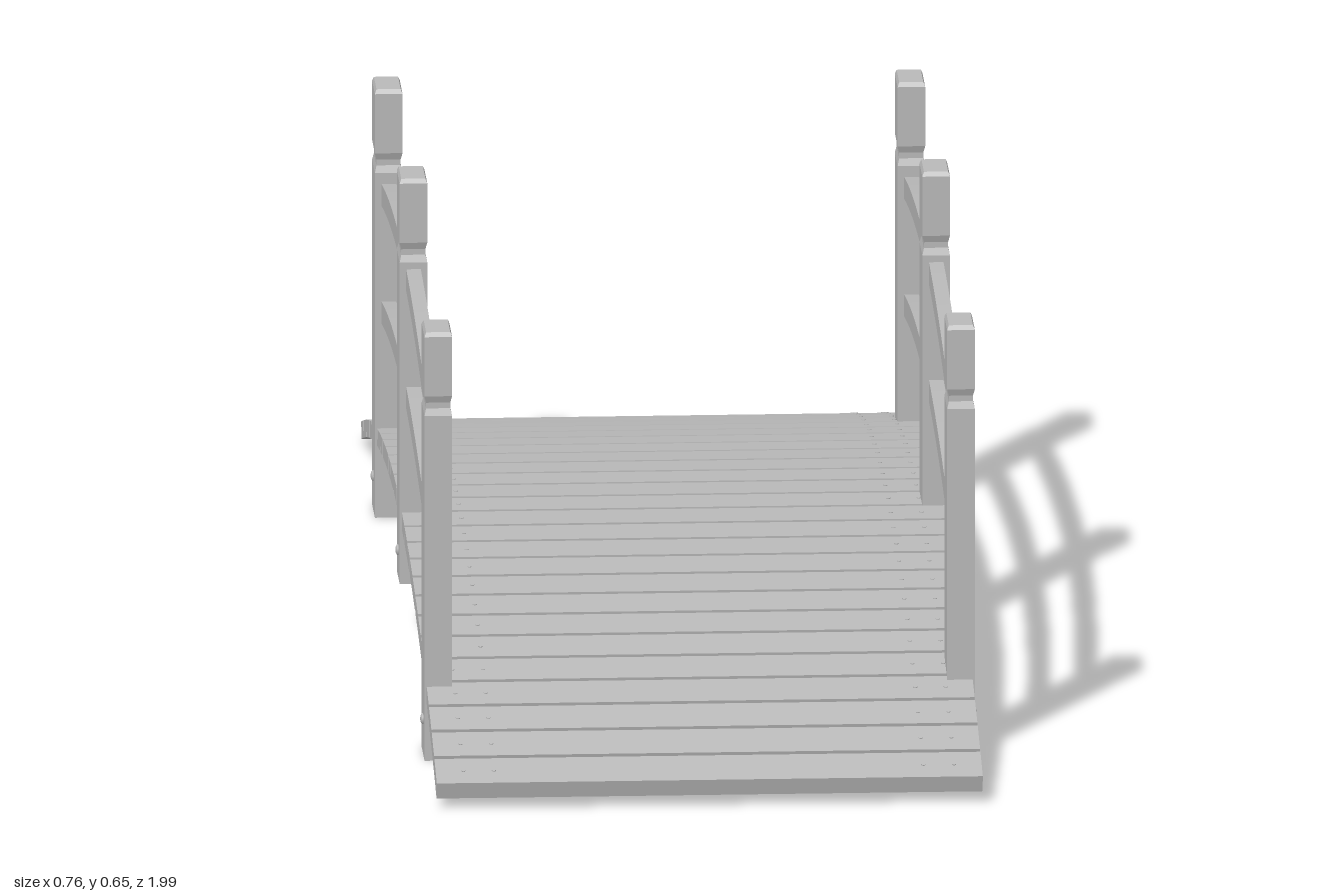
import * as THREE from 'three';

const wood = new THREE.MeshStandardMaterial({ color: 0xb8b8b8 });
wood.name = 'grey wood';

const ARCH_Z = 0.02; // crown of the arch
const arch = (crown, k = 0.15) => (z) => crown - k * (z - ARCH_Z) ** 2;
const deckTop = arch(0.18);

function add(parent, name, geometry, x = 0, y = 0, z = 0) {
  const mesh = new THREE.Mesh(geometry, wood);
  mesh.name = name;
  mesh.position.set(x, y, z);
  parent.add(mesh);
  return mesh;
}

// Curved beam between two height functions, centred on x = 0
function arcBeam(top, bottom, zFrom, zTo, width, steps) {
  const upper = [], lower = [];
  for (let i = 0; i <= steps; i++) {
    const z = zFrom + (zTo - zFrom) * i / steps;
    upper.push(new THREE.Vector2(z, top(z)));
    lower.push(new THREE.Vector2(z, bottom(z)));
  }
  const shape = new THREE.Shape([...lower, ...upper.reverse()]);
  const geometry = new THREE.ExtrudeGeometry(shape, { depth: width, bevelEnabled: false });
  geometry.translate(0, 0, -width / 2);
  geometry.rotateY(-Math.PI / 2);
  return geometry;
}

// Square post with a shallow groove below its cap and a bevelled top
function postGeometry(base, top) {
  const rings = [
    [base, 0], [top - 0.118, 0], [top - 0.108, 0.004],
    [top - 0.1, 0.004], [top - 0.09, 0], [top - 0.006, 0], [top, 0.004],
  ];
  const corners = [[-1, -1], [-1, 1], [1, 1], [1, -1]];
  const at = ([y, inset], c) => [c[0] * (0.019 - inset * 0.6), y, c[1] * (0.0375 - inset)];
  const positions = [];
  const quad = (a, b, c, d) => positions.push(...a, ...b, ...c, ...a, ...c, ...d);
  for (let r = 0; r < rings.length - 1; r++) {
    for (let i = 0; i < 4; i++) {
      const c = corners[i], n = corners[(i + 1) % 4];
      quad(at(rings[r], c), at(rings[r], n), at(rings[r + 1], n), at(rings[r + 1], c));
    }
  }
  quad(...corners.map((c) => at(rings[rings.length - 1], c)));
  quad(...corners.map((c) => at(rings[0], c)).reverse());
  const geometry = new THREE.BufferGeometry();
  geometry.setAttribute('position', new THREE.Float32BufferAttribute(positions, 3));
  geometry.computeVertexNormals();
  return geometry;
}

export function createModel() {
  const bridge = new THREE.Group();
  bridge.name = 'footbridge';

  // Deck planks laid along the arch, nailed to the stringers
  const count = 28, pitch = 1.994 / count, thick = 0.024;
  const nail = new THREE.CylinderGeometry(0.003, 0.003, 0.002, 8);
  for (let i = 0; i < count; i++) {
    const z = -0.997 + (i + 0.5) * pitch;
    const angle = Math.atan(0.3 * (z - ARCH_Z));
    const plank = new THREE.Group();
    plank.name = 'deckPlank';
    plank.position.set(0, deckTop(z), z);
    plank.rotation.x = angle;
    const length = pitch / Math.cos(angle) - 0.008;
    add(plank, 'plankBoard', new THREE.BoxGeometry(0.75, thick, length), 0, -thick / 2, 0);
    for (const x of [-0.337, -0.295, 0.295, 0.337]) add(plank, 'nail', nail, x, 0, 0);
    bridge.add(plank);
  }

  // Arched stringers, cut flat where they meet the ground
  const ground = 0.014;
  const stringer = arcBeam(
    (z) => Math.max(ground + 0.002, arch(0.156)(z)),
    (z) => Math.max(ground, arch(0.085, 0.118)(z)),
    -0.92, 0.96, 0.055, 40);

  const posts = [
    { z: 0.69, base: 0, top: 0.607, bolt: 0.05 },
    { z: 0.037, base: 0.078, top: 0.652, bolt: 0.117 },
    { z: -0.613, base: 0, top: 0.607, bolt: 0.05 },
  ];
  const bolt = new THREE.SphereGeometry(0.008, 12, 6, 0, Math.PI * 2, 0, Math.PI / 2);
  bolt.scale(1, 0.5, 1);
  bolt.rotateZ(-Math.PI / 2);

  for (const side of [-1, 1]) {
    add(bridge, 'stringer', stringer, side * 0.3125);

    // Posts with a round bolt head on the outer face
    for (const p of posts) {
      add(bridge, 'post', postGeometry(p.base, p.top), side * 0.359, 0, p.z);
      const head = add(bridge, 'boltHead', bolt, side * 0.378, p.bolt, p.z);
      if (side < 0) head.rotation.y = Math.PI;
    }

    // Two curved rails between neighbouring posts
    for (const crown of [0.525, 0.358]) {
      for (let i = 0; i < 2; i++) {
        const rail = arcBeam(arch(crown, 0.145), arch(crown - 0.031, 0.145),
          posts[i + 1].z, posts[i].z, 0.02, 14);
        add(bridge, 'handrail', rail, side * 0.359);
      }
    }
  }
  return bridge;
}
